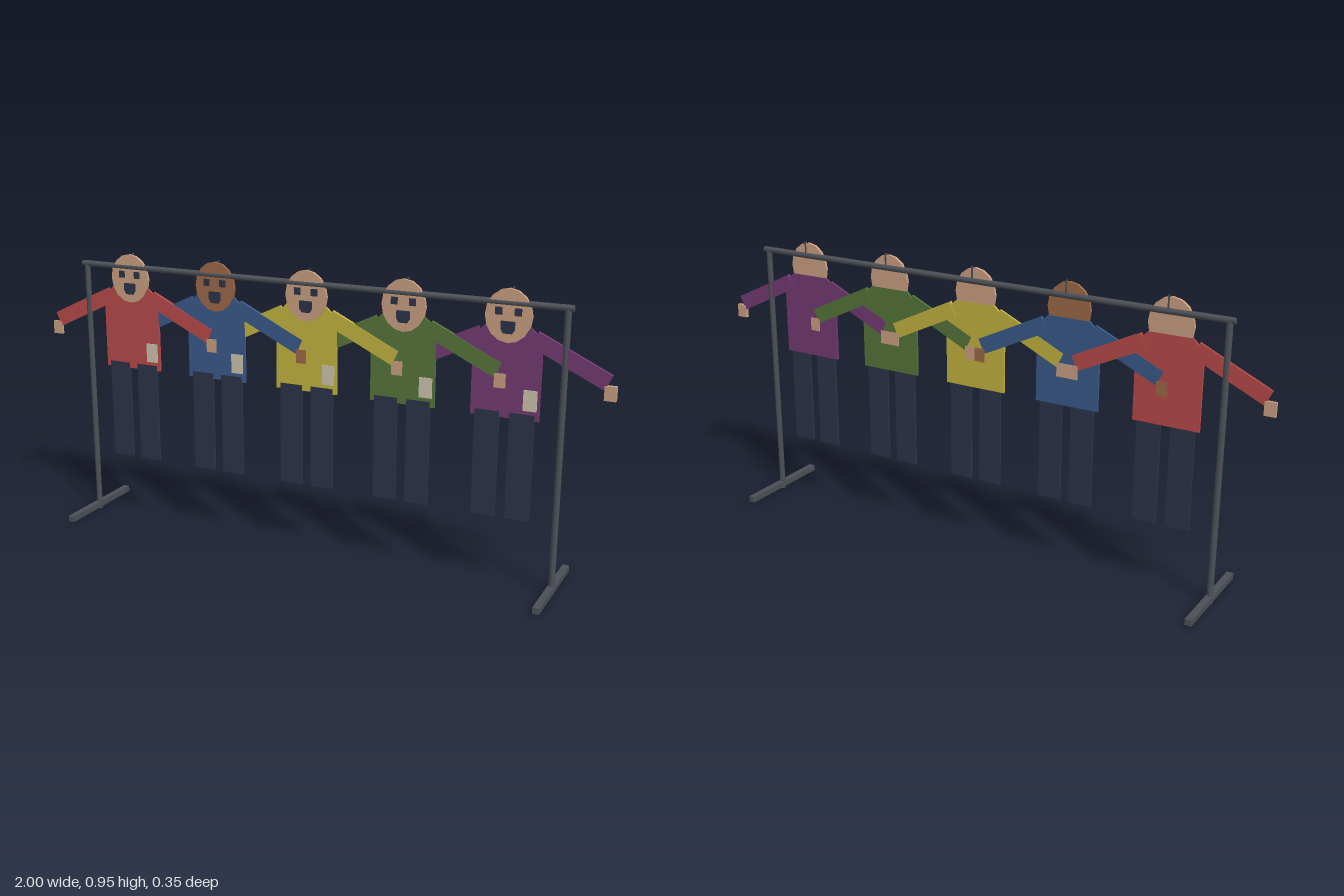
import * as THREE from 'three';

const material = (name, color) => {
  const m = new THREE.MeshStandardMaterial({ color });
  m.name = name;
  return m;
};

// Flat outline given as points, extruded between two depths
function plate(points, back, front) {
  const shape = new THREE.Shape(points.map(([x, y]) => new THREE.Vector2(x, y)));
  const geo = new THREE.ExtrudeGeometry(shape, { depth: front - back, bevelEnabled: false });
  return geo.translate(0, 0, back);
}

function box(x0, x1, y0, y1, back, front) {
  const geo = new THREE.BoxGeometry(x1 - x0, y1 - y0, front - back);
  return geo.translate((x0 + x1) / 2, (y0 + y1) / 2, (back + front) / 2);
}

export function createModel() {
  const model = new THREE.Group();
  model.name = 'hangingFigures';

  const metal = material('dark metal', 0x4c5056);
  const navy = material('navy', 0x2c3448);
  const patchColor = material('patch cream', 0xcdc4ac);
  const fair = material('fair skin', 0xcb9f82);
  const brown = material('brown skin', 0x9c6847);
  const shirts = [
    material('red', 0xb84a4a), material('blue', 0x3a5a8c), material('yellow', 0xc2b340),
    material('green', 0x55753a), material('purple', 0x733a73),
  ];

  const add = (parent, name, geo, mat) => {
    const mesh = new THREE.Mesh(geo, mat);
    mesh.name = name;
    parent.add(mesh);
    return mesh;
  };

  // Rail with two posts and two floor bars
  const rod = (length) => new THREE.CylinderGeometry(0.01, 0.01, length, 10);
  add(model, 'topRail', rod(1.72).rotateZ(Math.PI / 2).translate(0, 0.905, 0), metal);
  for (const side of [-1, 1]) {
    add(model, 'post', rod(0.905).translate(side * 0.843, 0.4525, 0), metal);
    add(model, 'floorBar', box(side * 0.843 - 0.011, side * 0.843 + 0.011, 0.007, 0.027, -0.175, 0.175), metal);
  }

  // Head outline: faceted oval
  const oval = [];
  for (let i = 0; i < 16; i++) {
    const a = (i / 16) * Math.PI * 2;
    oval.push([0.073 * Math.cos(a), 0.866 + 0.083 * Math.sin(a)]);
  }

  shirts.forEach((shirt, i) => {
    const skin = i === 1 ? brown : fair;
    const figure = new THREE.Group();
    figure.name = 'figure';
    figure.position.x = (i - 2) / 3;
    model.add(figure);

    add(figure, 'torso', plate([
      [-0.108, 0.55], [0.108, 0.55], [0.108, 0.80], [0.07, 0.835], [-0.07, 0.835], [-0.108, 0.80],
    ], -0.004, 0.004), shirt);

    for (const side of [-1, 1]) {
      // Left arms cross in front of the neighbour, right arms behind
      const back = side > 0 ? -0.006 : -0.005;
      const front = side > 0 ? 0.006 : 0.003;
      const arm = box(-0.125, 0.125, -0.026, 0.026, back, front);
      arm.rotateZ(-side * 0.445).translate(side * 0.195, 0.749, 0);
      add(figure, 'arm', arm, shirt);

      const hx = side * 0.315;
      add(figure, 'hand', box(hx - 0.018, hx + 0.018, 0.642, 0.687, back - 0.0008, front + 0.0008), skin);
      const lx = side * 0.055;
      add(figure, 'trouserLeg', box(lx - 0.039, lx + 0.039, 0.225, 0.568, -0.003, 0.005), navy);
    }

    // Head and painted face
    add(figure, 'head', plate(oval, -0.003, 0.0075), skin);
    for (const side of [-1, 1]) {
      const ex = side * 0.03;
      add(figure, 'eye', box(ex - 0.011, ex + 0.011, 0.868, 0.891, 0.007, 0.0105), navy);
    }
    add(figure, 'mouth', plate([
      [-0.022, 0.825], [-0.014, 0.812], [0.014, 0.812], [0.022, 0.825], [0.022, 0.85], [-0.022, 0.85],
    ], 0.007, 0.0105), navy);

    // Pocket patch and hanging wire
    add(figure, 'pocketPatch', box(0.057, 0.1, 0.58, 0.645, 0.003, 0.0068), patchColor);
    add(figure, 'hangerWire', box(0.008, 0.013, 0.895, 0.953, -0.005, 0.001), metal);
  });

  return model;
}
